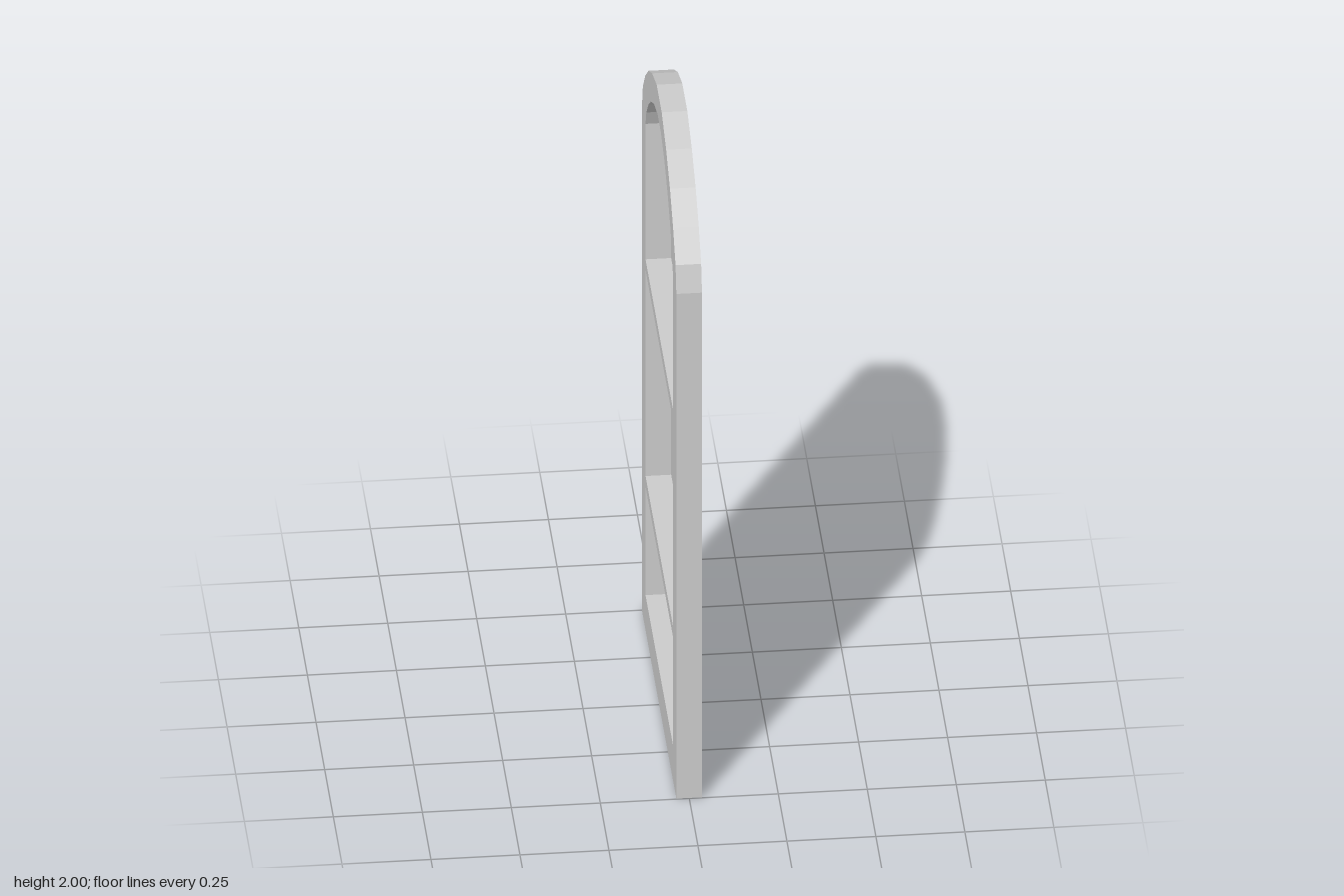
import * as THREE from 'three';

const HALF = 0.036; // half the thickness of the panel along x
const material = new THREE.MeshStandardMaterial({
  color: 0xcccccc, flatShading: true, side: THREE.DoubleSide,
});

// Closed outline [z, y]: flat bottom, straight sides, mirrored arch on top
function archOutline(bottom, arch) {
  const half = [[arch[0][0], bottom], ...arch];
  const mirrored = half.map(([z, y]) => [-z, y]).reverse();
  return [...half, ...mirrored].map(([z, y]) => new THREE.Vector2(z, y));
}

const rectOutline = (halfWidth, bottom, top) => archOutline(bottom, [[halfWidth, top]]);

// Flat sheet in the z-y plane at a given x, facing -x
function sheet(name, outline, x, holes = []) {
  const shape = new THREE.Shape(outline);
  shape.holes = holes.map((h) => new THREE.Path(h));
  const geometry = new THREE.ShapeGeometry(shape).rotateY(-Math.PI / 2).translate(x, 0, 0);
  const mesh = new THREE.Mesh(geometry, material);
  mesh.name = name;
  return mesh;
}

// Band of flat quads following an outline through the full thickness
function wall(name, outline, outward = true) {
  const positions = [];
  outline.forEach((a, i) => {
    const b = outline[(i + 1) % outline.length];
    const p = [[-HALF, a], [-HALF, b], [HALF, b], [HALF, a]];
    const order = outward ? [0, 2, 1, 0, 3, 2] : [0, 1, 2, 0, 2, 3];
    for (const k of order) positions.push(p[k][0], p[k][1].y, p[k][1].x);
  });
  const geometry = new THREE.BufferGeometry();
  geometry.setAttribute('position', new THREE.Float32BufferAttribute(positions, 3));
  geometry.computeVertexNormals();
  const mesh = new THREE.Mesh(geometry, material);
  mesh.name = name;
  return mesh;
}

export function createModel() {
  const model = new THREE.Group();
  model.name = 'archedPanel';

  const outer = archOutline(0, [
    [0.497, 1.665], [0.473, 1.745], [0.403, 1.824], [0.312, 1.897], [0.202, 1.957], [0.073, 2],
  ]);
  const pockets = {
    lowerPocket: rectOutline(0.395, 0.115, 0.473),
    middlePocket: rectOutline(0.395, 0.508, 1.188),
    archedPocket: archOutline(1.223, [
      [0.395, 1.67], [0.372, 1.722], [0.312, 1.785], [0.242, 1.839], [0.152, 1.888], [0.048, 1.919],
    ]),
  };

  // Frame face with openings, and the rim around its edge
  model.add(sheet('frameFace', outer, -HALF, Object.values(pockets)));
  model.add(wall('outerRim', outer));

  // Recessed pockets, open on the frame face and closed on the far side
  for (const [name, outline] of Object.entries(pockets)) {
    const pocket = new THREE.Group();
    pocket.name = name;
    pocket.add(wall('pocketWall', outline, false), sheet('pocketPanel', outline, HALF));
    model.add(pocket);
  }
  return model;
}
